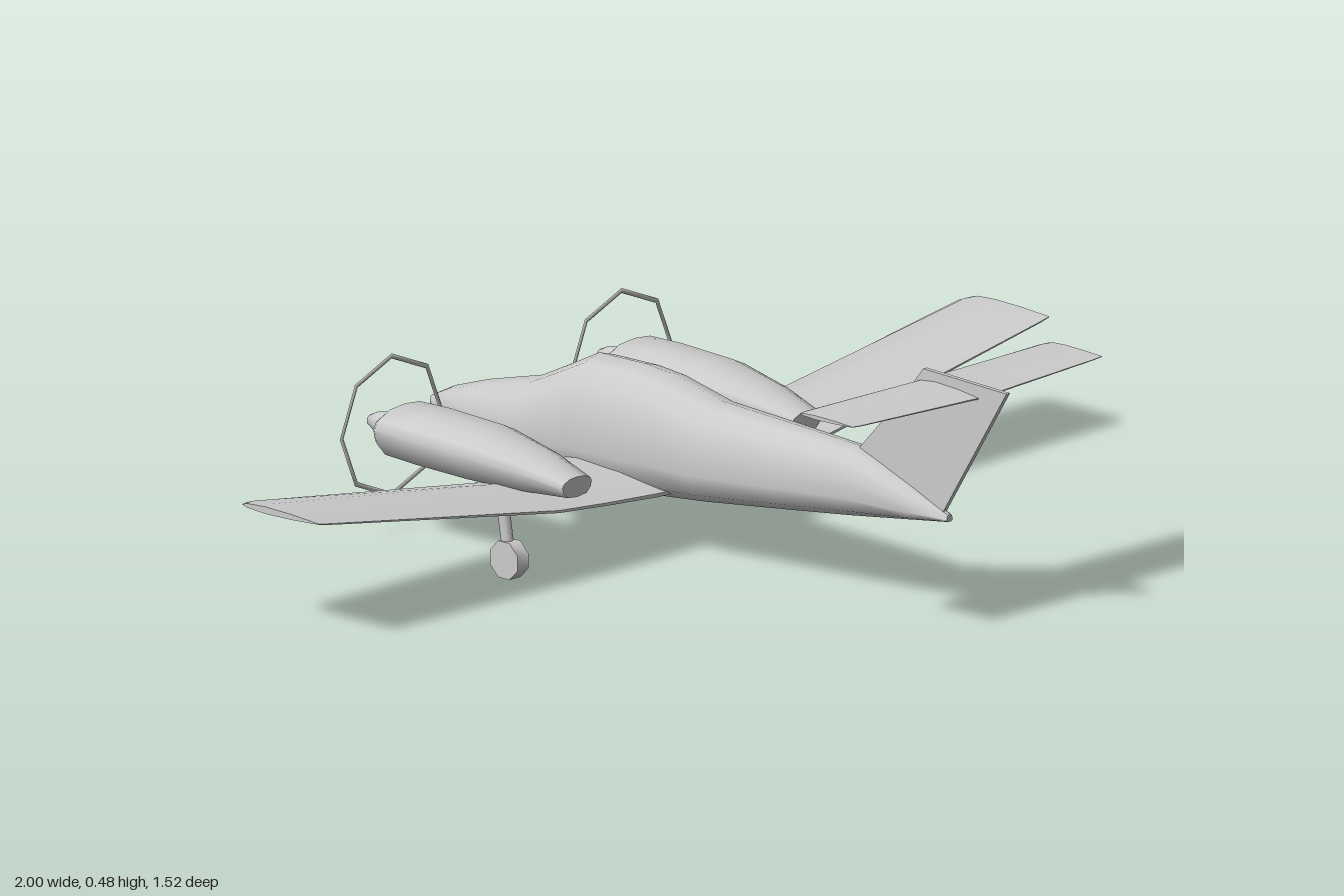
import * as THREE from 'three';
import { toCreasedNormals } from 'three/addons/utils/BufferGeometryUtils.js';

const material = new THREE.MeshStandardMaterial({ color: 0xcccccc });

function mesh(name, geometry, parent) {
  const m = new THREE.Mesh(geometry, material);
  m.name = name;
  parent.add(m);
  return m;
}

// Skin through equal-length rings that run counter-clockwise about the direction of travel, capped at both ends
function loft(rings, crease) {
  const n = rings[0].length, pos = [], idx = [];
  rings.forEach(r => r.forEach(p => pos.push(...p)));
  for (let i = 0; i < rings.length - 1; i++) {
    for (let j = 0; j < n; j++) {
      const k = (j + 1) % n, a = i * n, b = a + n;
      idx.push(a + j, a + k, b + k, a + j, b + k, b + j);
    }
  }
  const last = (rings.length - 1) * n;
  for (let j = 1; j < n - 1; j++) {
    idx.push(0, j + 1, j, last, last + j, last + j + 1);
  }
  const g = new THREE.BufferGeometry();
  g.setAttribute('position', new THREE.Float32BufferAttribute(pos, 3));
  g.setIndex(idx);
  return toCreasedNormals(g, crease);
}

// Mirrored body section: half outline as [width fraction, height fraction] from top to bottom
function bodyRing(half, [z, top, bottom, w]) {
  const at = ([u, v], s) => [s * u * w, bottom + v * (top - bottom), z];
  return [
    ...half.map(p => at(p, -1)),
    ...half.slice(1, -1).reverse().map(p => at(p, 1)),
  ];
}

// Full-span surface from half-span stations [x, leading z, trailing z, middle y, half thickness]
function airfoil(stations) {
  const outline = [[0.3, 1], [0.65, 0.75], [1, 0.12], [1, -0.12], [0.65, -0.75], [0.3, -1], [0.07, -0.6], [0, 0], [0.07, 0.6]];
  const ring = ([x, le, te, y, t], s) => outline.map(([c, h]) => [s * x, y + h * t, le + c * (te - le)]);
  return loft([
    ...stations.slice().reverse().map(s => ring(s, -1)),
    ...stations.filter(s => s[0] > 0).map(s => ring(s, 1)),
  ], 0.6);
}

function rod(name, a, b, r, parent) {
  const p = new THREE.Vector3(...a), q = new THREE.Vector3(...b);
  const m = mesh(name, new THREE.CylinderGeometry(r, r, p.distanceTo(q), 8), parent);
  m.position.copy(p).add(q).multiplyScalar(0.5);
  m.quaternion.setFromUnitVectors(new THREE.Vector3(0, 1, 0), q.sub(p).normalize());
}

function landingGear(name, x, z, r, topY, topZ, parent) {
  const gear = new THREE.Group();
  gear.name = name;
  parent.add(gear);
  const wheelGeo = new THREE.CylinderGeometry(r, r, 0.03, 8);
  wheelGeo.rotateY(Math.PI / 8).rotateZ(Math.PI / 2);
  mesh('wheel', toCreasedNormals(wheelGeo, 0.9), gear).position.set(x, r * 0.95, z);
  rod('strut', [x, r, z], [x, topY, topZ], 0.012, gear);
}

export function createModel() {
  const plane = new THREE.Group();
  plane.name = 'twinEngineAircraft';

  // Fuselage, nose to tail: z, top, bottom, half width
  const fuselageHalf = [[0, 1], [0.42, 0.95], [0.76, 0.83], [0.92, 0.6], [1, 0.32], [0.88, 0.12], [0.5, 0.02], [0, 0]];
  mesh('fuselage', loft([
    [-0.76, 0.168, 0.15, 0.008],
    [-0.7, 0.198, 0.134, 0.045],
    [-0.61, 0.228, 0.115, 0.072],
    [-0.47, 0.264, 0.102, 0.092],
    [-0.4, 0.298, 0.096, 0.097],
    [-0.32, 0.338, 0.091, 0.098],
    [-0.2, 0.34, 0.093, 0.097],
    [-0.13, 0.334, 0.099, 0.094],
    [0, 0.306, 0.111, 0.085],
    [0.2, 0.298, 0.135, 0.071],
    [0.37, 0.29, 0.156, 0.059],
    [0.52, 0.235, 0.176, 0.034],
    [0.605, 0.2, 0.186, 0.008],
  ].map(s => bodyRing(fuselageHalf, s)), 0.9), plane);

  // Main wing: flared root, then dihedral to clipped tips
  mesh('wing', airfoil([
    [0, -0.4, -0.07, 0.122, 0.032],
    [0.1, -0.385, -0.07, 0.125, 0.03],
    [0.24, -0.34, -0.07, 0.136, 0.024],
    [0.37, -0.312, -0.07, 0.148, 0.021],
    [0.975, -0.312, -0.093, 0.243, 0.01],
    [1, -0.3, -0.096, 0.247, 0.007],
  ]), plane);

  // Tailplane on top of the fin
  mesh('tailplane', airfoil([
    [0, 0.52, 0.686, 0.446, 0.011],
    [0.32, 0.532, 0.68, 0.456, 0.006],
    [0.342, 0.538, 0.678, 0.457, 0.004],
  ]), plane);

  // Swept fin, drawn in (z, y) and turned upright
  const finShape = new THREE.Shape(
    [[0.37, 0.286], [0.59, 0.2], [0.76, 0.47], [0.54, 0.477], [0.49, 0.415]].map(p => new THREE.Vector2(-p[0], p[1])));
  const finGeo = new THREE.ExtrudeGeometry(finShape, { depth: 0.01, bevelEnabled: false });
  finGeo.translate(0, 0, -0.005).rotateY(Math.PI / 2);
  mesh('fin', finGeo, plane);

  // Engines with spinner and propeller ring
  const nacelleHalf = [[0, 1], [0.5, 0.96], [0.9, 0.8], [1, 0.62], [0.93, 0.35], [0.65, 0.08], [0, 0]];
  const spinnerProfile = [[0, -0.03], [0.027, -0.03], [0.027, 0.02], [0.021, 0.058], [0.011, 0.08], [0, 0.083]]
    .map(p => new THREE.Vector2(...p));
  for (const side of [-1, 1]) {
    const engine = new THREE.Group();
    engine.name = side > 0 ? 'leftEngine' : 'rightEngine';
    engine.position.x = side * 0.315;
    plane.add(engine);

    mesh('nacelle', loft([
      [-0.54, 0.252, 0.17, 0.076],
      [-0.53, 0.26, 0.162, 0.083],
      [-0.45, 0.262, 0.158, 0.084],
      [-0.31, 0.257, 0.156, 0.083],
      [-0.18, 0.235, 0.158, 0.062],
      [-0.075, 0.205, 0.165, 0.04],
    ].map(s => bodyRing(nacelleHalf, s)), 0.8), engine);

    const spinner = mesh('spinner', new THREE.LatheGeometry(spinnerProfile, 12), engine);
    spinner.rotation.x = -Math.PI / 2;
    spinner.position.set(0, 0.21, -0.54);

    const ring = mesh('propellerRing', new THREE.TorusGeometry(0.137, 0.005, 4, 8), engine);
    ring.scale.z = 0.4;
    ring.position.set(0, 0.21, -0.565);
  }

  // Tricycle landing gear
  landingGear('noseGear', 0, -0.56, 0.033, 0.125, -0.545, plane);
  landingGear('leftGear', 0.39, -0.182, 0.039, 0.15, -0.2, plane);
  landingGear('rightGear', -0.39, -0.182, 0.039, 0.15, -0.2, plane);

  return plane;
}
